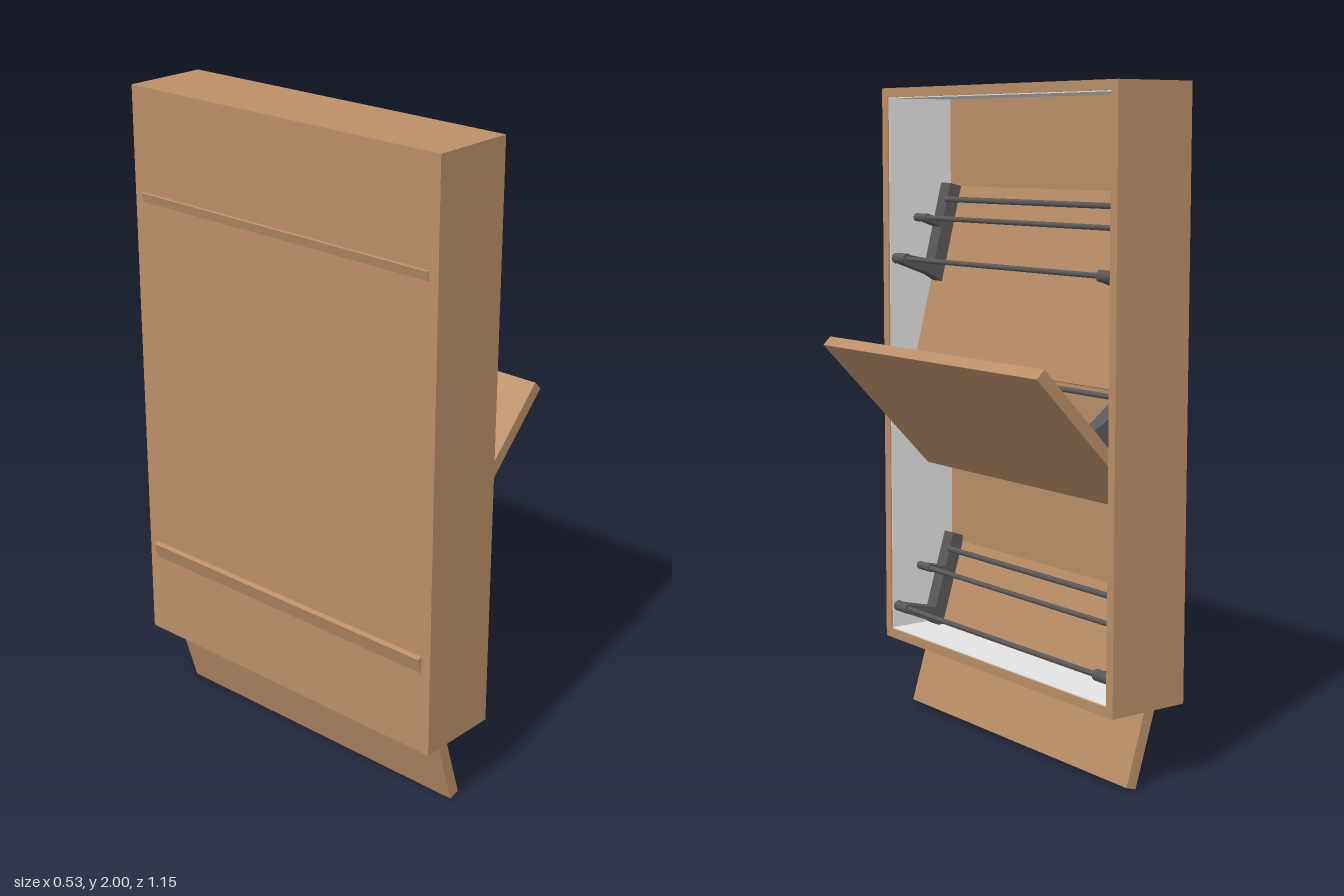
import * as THREE from 'three';

const wood = new THREE.MeshStandardMaterial({ color: 0xbc8f68 });
wood.name = 'wood';
const lining = new THREE.MeshStandardMaterial({ color: 0xe4e4e4 });
lining.name = 'white lining';
const metal = new THREE.MeshStandardMaterial({ color: 0x5a5858 });
metal.name = 'dark metal';

// Box given by its minimum and maximum corners
function box(parent, name, mat, a, b) {
  const mesh = new THREE.Mesh(new THREE.BoxGeometry(b[0] - a[0], b[1] - a[1], b[2] - a[2]), mat);
  mesh.position.set((a[0] + b[0]) / 2, (a[1] + b[1]) / 2, (a[2] + b[2]) / 2);
  mesh.name = name;
  parent.add(mesh);
  return mesh;
}

// Round bar running along z
function bar(parent, name, u, v, radius, z0, z1) {
  const geo = new THREE.CylinderGeometry(radius, radius, z1 - z0, 12).rotateX(Math.PI / 2);
  const mesh = new THREE.Mesh(geo, metal);
  mesh.position.set(u, v, (z0 + z1) / 2);
  mesh.name = name;
  parent.add(mesh);
}

// Bracket outline: arm along the flap, a short peg and a long foot
function bracketGeometry() {
  const outline = [
    [0, 0.035], [0.31, 0.035], [0.298, 0.075], [0.286, 0.19], [0.256, 0.19],
    [0.25, 0.08], [0.142, 0.08], [0.136, 0.14], [0.116, 0.14], [0.112, 0.08], [0, 0.08],
  ];
  const shape = new THREE.Shape(outline.map(([u, v]) => new THREE.Vector2(u, v)));
  return new THREE.ExtrudeGeometry(shape, { depth: 0.05, bevelEnabled: false });
}

// Tilting flap with its shoe rack; local x runs along the board, local y out of it
function makeFlap(name, x, y, dx, dy) {
  const flap = new THREE.Group();
  flap.name = name;
  box(flap, 'flapBoard', wood, [0, 0, -0.543], [0.567, 0.036, 0.543]);
  const geo = bracketGeometry();
  for (const side of [-1, 1]) {
    const bracket = new THREE.Mesh(geo, metal);
    bracket.position.z = side * 0.507 - 0.025;
    bracket.name = 'rackBracket';
    flap.add(bracket);
    const z0 = side > 0 ? 0.475 : -0.54;
    bar(flap, 'footRodCap', 0.27, 0.187, 0.017, z0, z0 + 0.065);
    bar(flap, 'pegRodCap', 0.127, 0.14, 0.013, z0, z0 + 0.065);
  }
  bar(flap, 'upperRod', 0.053, 0.08, 0.009, -0.485, 0.485);
  bar(flap, 'middleRod', 0.127, 0.14, 0.008, -0.485, 0.485);
  bar(flap, 'lowerRod', 0.27, 0.187, 0.008, -0.485, 0.485);
  flap.position.set(x, y, 0);
  flap.rotation.z = Math.atan2(dy, dx);
  return flap;
}

export function createModel() {
  const model = new THREE.Group();
  model.name = 'shoeCabinet';
  const back = -0.25, front = 0.015, low = 0.235, high = 2, w = 0.575;

  // Carcass
  const carcass = new THREE.Group();
  carcass.name = 'carcass';
  model.add(carcass);
  const t = 0.029, skin = 0.003, inner = w - t;
  box(carcass, 'topPanel', wood, [back, high - t, -w], [front, high, w]);
  box(carcass, 'bottomPanel', wood, [back, low, -w], [front, low + t, w]);
  box(carcass, 'rightPanel', wood, [back, low + t, -w], [front, high - t, -inner]);
  box(carcass, 'leftPanel', wood, [back, low + t, inner], [front, high - t, w]);
  box(carcass, 'backPanel', wood, [back, low + t, -inner], [back + 0.025, high - t, inner]);

  // White inner faces
  const x0 = back + 0.025, x1 = front - 0.005;
  box(carcass, 'topLining', lining, [x0, high - t - skin, -inner], [x1, high - t, inner]);
  box(carcass, 'bottomLining', lining, [x0, low + t, -inner], [x1, low + t + skin, inner]);
  box(carcass, 'rightLining', lining, [x0, low + t, -inner], [x1, high - t, -inner + skin]);
  box(carcass, 'leftLining', lining, [x0, low + t, inner - skin], [x1, high - t, inner]);

  // Two closed-side flaps and the one swung open
  model.add(makeFlap('upperFlap', -0.257, 1.685, 0.245, -0.97));
  model.add(makeFlap('middleFlap', -0.131, 0.8, 0.393, 0.409));
  model.add(makeFlap('lowerFlap', -0.265, 0.543, 0.29, -0.957));
  return model;
}
